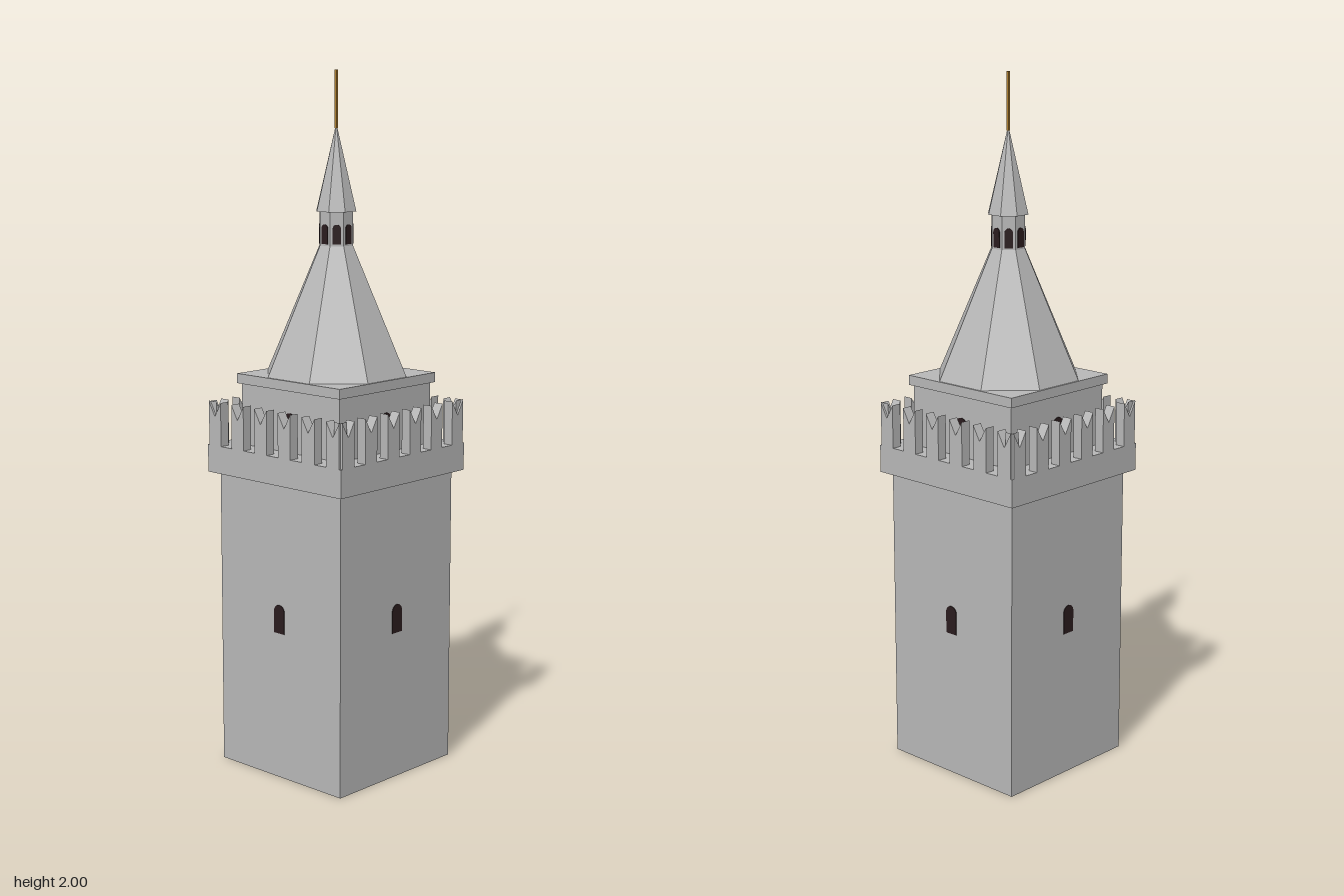
import * as THREE from 'three';

export function createModel() {
  const tower = new THREE.Group();
  tower.name = 'tower';
  const mat = (name, color, extra = {}) => {
    const m = new THREE.MeshStandardMaterial({ color, flatShading: true, ...extra });
    m.name = name;
    return m;
  };
  const stone = mat('grey stone', 0xb8b8b8, { side: THREE.DoubleSide });
  const dark = mat('dark opening', 0x2a1c1e);
  const gold = mat('gilded metal', 0xb08030);

  const add = (name, geometry, material, parent = tower) => {
    const mesh = new THREE.Mesh(geometry, material);
    mesh.name = name;
    parent.add(mesh);
    return mesh;
  };
  // square block given by half width and height range
  const block = (name, half, y0, y1) => {
    add(name, new THREE.BoxGeometry(2 * half, y1 - y0, 2 * half), stone).position.y = (y0 + y1) / 2;
  };
  // regular prism or cone with flat sides facing the axes
  const prism = (name, sides, rTop, rBottom, y0, y1, material = stone, open = false) => {
    const g = new THREE.CylinderGeometry(rTop, rBottom, y1 - y0, sides, 1, open, Math.PI / sides);
    add(name, g, material).position.y = (y0 + y1) / 2;
  };
  // thin round-headed plate, standing on y = 0
  const archPlate = (width, height) => {
    const r = width / 2;
    const s = new THREE.Shape();
    s.moveTo(-r, 0);
    s.lineTo(r, 0);
    s.lineTo(r, height - r);
    s.absarc(0, height - r, r, 0, Math.PI);
    s.closePath();
    return new THREE.ExtrudeGeometry(s, { depth: 0.004, bevelEnabled: false, curveSegments: 8 });
  };

  // Square body: hollow shaft, gallery, belfry and eaves slab
  prism('shaft', 4, 0.235 * Math.SQRT2, 0.235 * Math.SQRT2, 0, 0.87, stone, true);
  block('gallery', 0.26, 0.865, 0.945);
  block('belfry', 0.19, 0.945, 1.125);
  block('eavesSlab', 0.2, 1.122, 1.15);

  // Octagonal roof, lantern, spire and pole
  prism('mainRoof', 8, 0.05, 0.211, 1.15, 1.515);
  prism('lantern', 8, 0.05, 0.05, 1.51, 1.61);
  prism('spire', 8, 0.001, 0.06, 1.61, 1.85);
  prism('pole', 4, 0.005, 0.005, 1.84, 2, gold);

  // Swallowtail merlon with a V-cut top
  const w = 0.024;
  const outline = [[-w, 0], [w, 0], [w, 0.128], [0, 0.086], [-w, 0.128]];
  const merlon = new THREE.ExtrudeGeometry(
    new THREE.Shape(outline.map(([x, y]) => new THREE.Vector2(x, y))),
    { depth: 0.03, bevelEnabled: false });

  const shaftWindow = archPlate(0.04, 0.083);
  const belfryWindow = archPlate(0.044, 0.112);
  for (let side = 0; side < 4; side++) {
    const face = new THREE.Group();
    face.name = 'wallDetails';
    face.rotation.y = side * Math.PI / 2;
    tower.add(face);
    for (let i = 0; i < 6; i++) {
      add('merlon', merlon, stone, face).position.set(-0.23 + i * 0.092, 0.943, 0.23);
    }
    add('shaftWindow', shaftWindow, dark, face).position.set(0, 0.43, 0.233);
    add('belfryWindow', belfryWindow, dark, face).position.set(0, 0.946, 0.188);
  }

  // Arched openings around the lantern
  const lanternWindow = archPlate(0.023, 0.055);
  for (let i = 0; i < 8; i++) {
    const face = new THREE.Group();
    face.name = 'lanternSide';
    face.rotation.y = i * Math.PI / 4;
    tower.add(face);
    add('lanternWindow', lanternWindow, dark, face).position.set(0, 1.52, 0.0445);
  }
  return tower;
}
